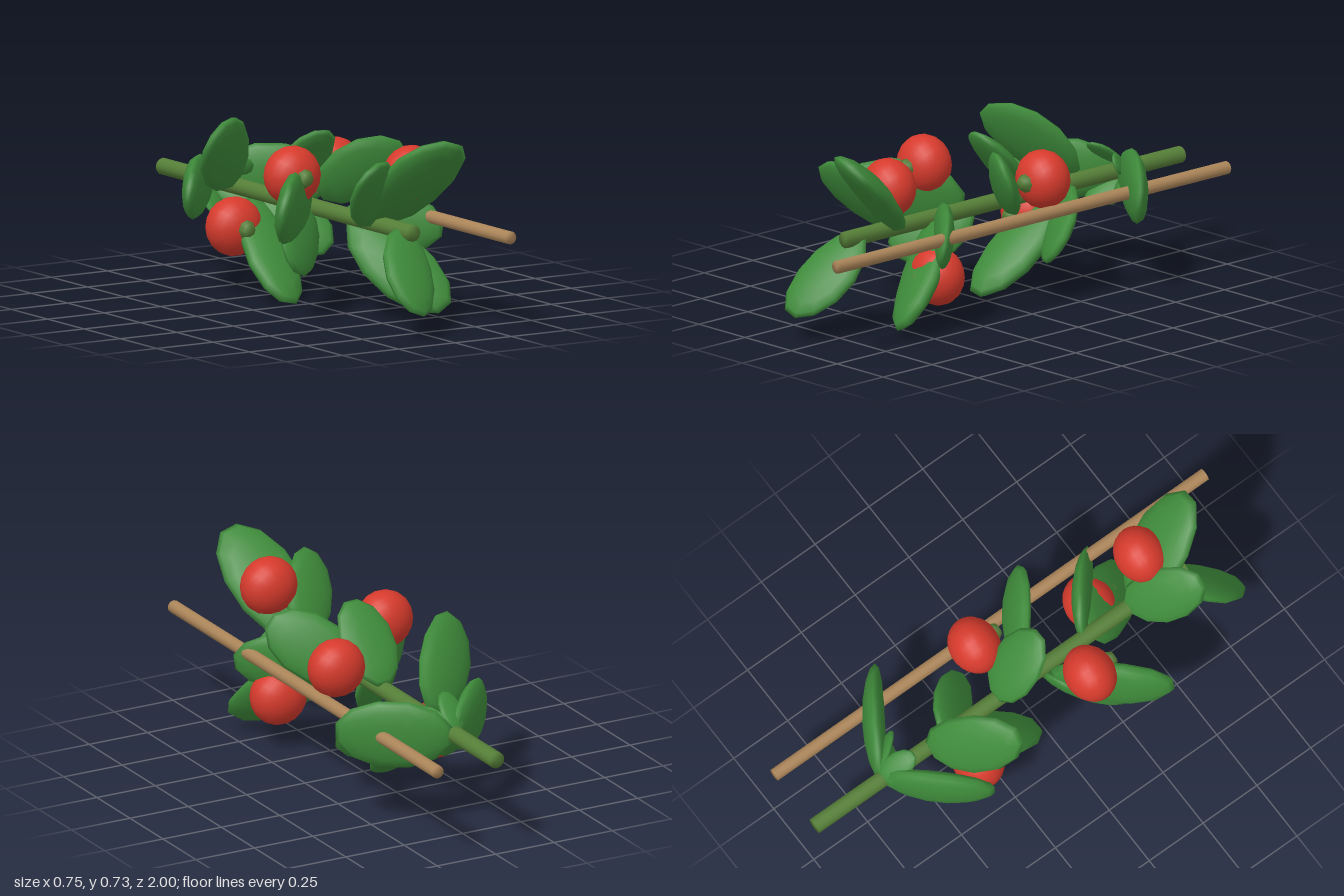
import * as THREE from 'three';
import { mergeVertices } from 'three/addons/utils/BufferGeometryUtils.js';

export function createModel() {
  const mat = (name, color) => {
    const m = new THREE.MeshStandardMaterial({ color });
    m.name = name;
    return m;
  };
  const leafGreen = mat('leaf green', 0x3e8a3a);
  const stemGreen = mat('stem green', 0x567f38);
  const fruitRed = mat('fruit red', 0xd63a2c);
  const wood = mat('stake wood', 0xab8559);

  const AXIS_Y = 0.37; // height of the stem, which lies along z
  const group = new THREE.Group();
  const add = (name, geometry, material, parent = group) => {
    const mesh = new THREE.Mesh(geometry, material);
    mesh.name = name;
    parent.add(mesh);
    return mesh;
  };

  // Cylinder along z with normals smoothed over its rims
  const softCylinder = (rTop, rBottom, length, sides) => {
    let g = new THREE.CylinderGeometry(rTop, rBottom, length, sides);
    g.deleteAttribute('normal');
    g.deleteAttribute('uv');
    g = mergeVertices(g);
    g.computeVertexNormals();
    return g.rotateX(Math.PI / 2);
  };

  // Rods: a stem with a taller stake beside it
  const rod = (name, radius, x, z0, z1, material) => {
    add(name, softCylinder(radius, radius, z1 - z0, 12), material).position.set(x, AXIS_Y, (z0 + z1) / 2);
  };
  rod('stem', 0.032, -0.005, -1, 0.72, stemGreen);
  rod('stake', 0.025, 0.247, -1, 1, wood);

  // Leaf: flattened sphere, length on y, width on x, slightly cupped along its length
  function leafGeometry(length, width) {
    const g = new THREE.SphereGeometry(1, 12, 8);
    g.rotateX(Math.PI / 2);
    g.rotateZ(Math.PI / 12);
    g.scale(width / 2, length / 2, length * 0.095);
    const p = g.attributes.position;
    for (let i = 0; i < p.count; i++) {
      const u = p.getY(i) / (length / 2);
      p.setZ(i, p.getZ(i) + length * 0.035 * (u * u - 0.45));
    }
    return g;
  }

  // Places a leaf centre; it points away from the stem and leans towards +z
  function addLeaf(name, x, y, z, length, width, lean) {
    const angle = Math.atan2(y - AXIS_Y, x);
    const t = THREE.MathUtils.degToRad(lean);
    const radial = new THREE.Vector3(Math.cos(angle), Math.sin(angle), 0);
    const along = radial.clone().multiplyScalar(Math.cos(t));
    along.z = Math.sin(t);
    const normal = radial.clone().multiplyScalar(-Math.sin(t));
    normal.z = Math.cos(t);
    const side = new THREE.Vector3().crossVectors(along, normal);
    const mesh = add(name, leafGeometry(length, width), leafGreen);
    mesh.quaternion.setFromRotationMatrix(new THREE.Matrix4().makeBasis(side, along, normal));
    mesh.position.set(x, y, z);
  }

  // Large leaves: x, y, z, length, width, lean in degrees
  [
    [0.058, 0.553, 0.65, 0.51, 0.28, 45],
    [-0.053, 0.233, 0.77, 0.41, 0.23, 42],
    [-0.217, 0.412, 0.225, 0.48, 0.28, 45],
    [0.108, 0.2, 0.445, 0.51, 0.255, 43],
    [-0.083, 0.503, 0.565, 0.39, 0.225, 38],
    [0.145, 0.347, 0.36, 0.38, 0.225, 40],
    [-0.14, 0.523, -0.36, 0.44, 0.26, 36],
    [0.178, 0.5, 0.08, 0.38, 0.245, 33],
    [0.01, 0.53, -0.05, 0.36, 0.22, 40],
    [0.193, 0.37, -0.57, 0.45, 0.27, 34],
    [-0.15, 0.375, -0.535, 0.44, 0.24, 46],
    [-0.043, 0.166, -0.20, 0.51, 0.23, 46],
    [-0.137, 0.272, 0.15, 0.35, 0.23, 38],
    [0.10, 0.26, -0.28, 0.37, 0.23, 42],
  ].forEach((l, i) => addLeaf('leaf' + (i + 1), ...l));

  // Ring of small leaves low on the stem
  for (let i = 0; i < 5; i++) {
    const a = THREE.MathUtils.degToRad(105 + i * 72);
    addLeaf('smallLeaf' + (i + 1), 0.075 * Math.cos(a), AXIS_Y + 0.075 * Math.sin(a), -0.625, 0.175, 0.105, 50);
  }

  // Fruits: squashed spheres, each with a small cap on its +z end
  [
    [0.08, 0.563, 0.575],
    [-0.175, 0.522, 0.152],
    [0.183, 0.483, -0.118],
    [0.145, 0.198, 0.388],
    [-0.122, 0.253, -0.33],
  ].forEach((p, i) => {
    const fruit = new THREE.Group();
    fruit.name = 'fruit' + (i + 1);
    fruit.position.set(...p);
    group.add(fruit);
    const body = new THREE.SphereGeometry(0.112, 18, 14);
    body.rotateX(Math.PI / 2);
    body.scale(1, 1, 0.85);
    add('fruitBody', body, fruitRed, fruit);
    add('fruitCap', softCylinder(0.024, 0.044, 0.035, 8), stemGreen, fruit).position.z = 0.094;
  });

  return group;
}
